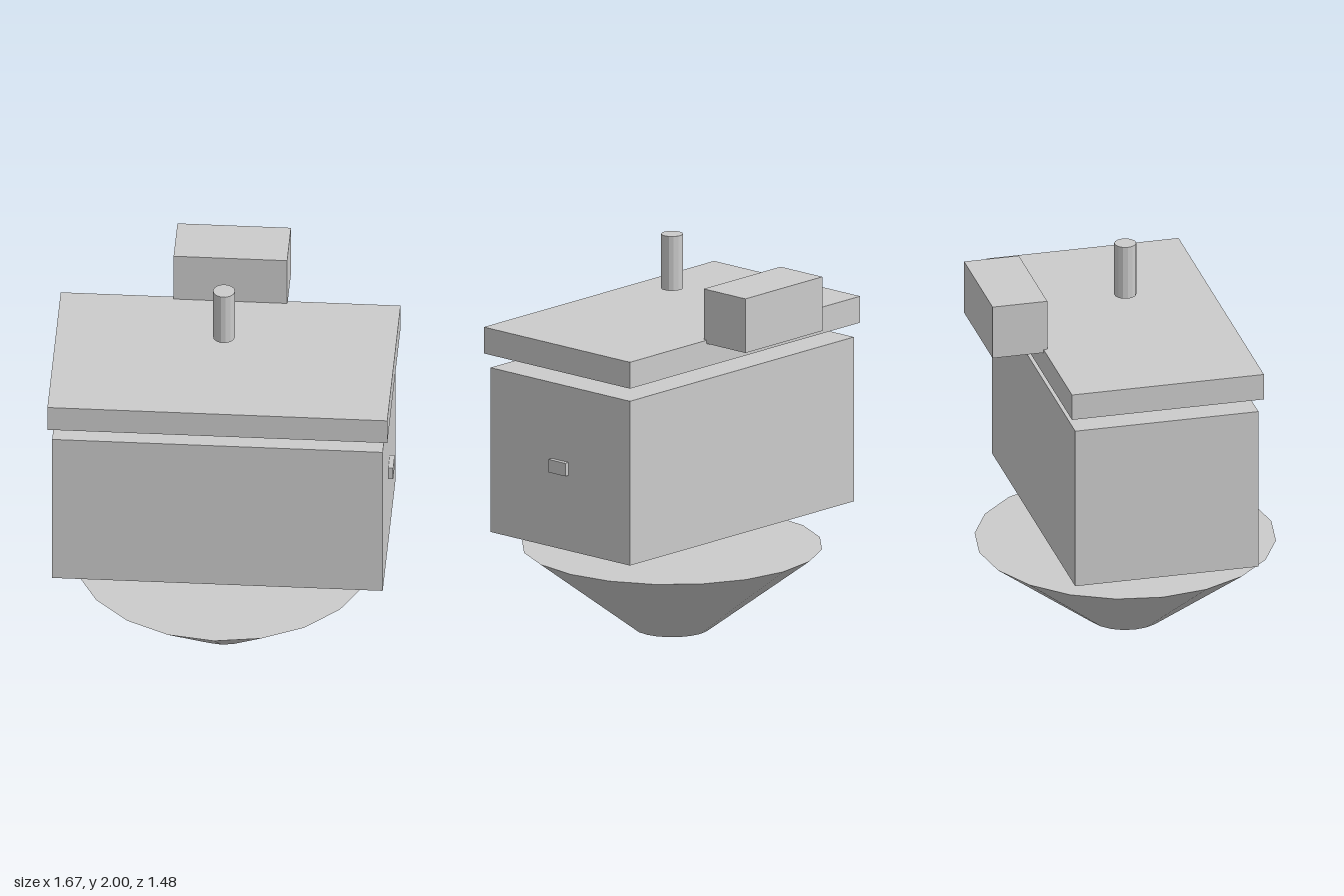
import * as THREE from 'three';

export function createModel() {
  const model = new THREE.Group();
  const material = new THREE.MeshStandardMaterial({ color: 0xcccccc, flatShading: true });

  const add = (name, geometry, x, y, z) => {
    const mesh = new THREE.Mesh(geometry, material);
    mesh.name = name;
    mesh.position.set(x, y, z);
    model.add(mesh);
    return mesh;
  };

  // Box given by its extents on each axis
  const box = (name, [x0, x1], [y0, y1], [z0, z1]) =>
    add(name, new THREE.BoxGeometry(x1 - x0, y1 - y0, z1 - z0),
      (x0 + x1) / 2, (y0 + y1) / 2, (z0 + z1) / 2);

  // Faceted, capped cylinder or cone frustum standing on the centre axis
  const frustum = (name, rTop, rBottom, [y0, y1], sides) =>
    add(name, new THREE.CylinderGeometry(rTop, rBottom, y1 - y0, sides), 0, (y0 + y1) / 2, 0);

  // Funnel-shaped base, separated from the body by a gap
  frustum('funnelBase', 0.74, 0.186, [0, 0.418], 20);

  // Main housing with a small tab on its left side
  box('body', [-0.813, 0.811], [0.562, 1.397], [-0.464, 0.464]);
  box('sideTab', [0.811, 0.835], [0.945, 1.011], [-0.056, 0.056]);

  // Floating lid and the block behind it
  box('lid', [-0.835, 0.835], [1.47, 1.604], [-0.486, 0.486]);
  box('rearBlock', [-0.279, 0.279], [1.587, 1.862], [-0.744, -0.467]);

  // Pin hovering above the lid
  const pin = frustum('topPin', 0.054, 0.054, [1.724, 2], 14);
  pin.rotation.y = Math.PI / 2;

  return model;
}
